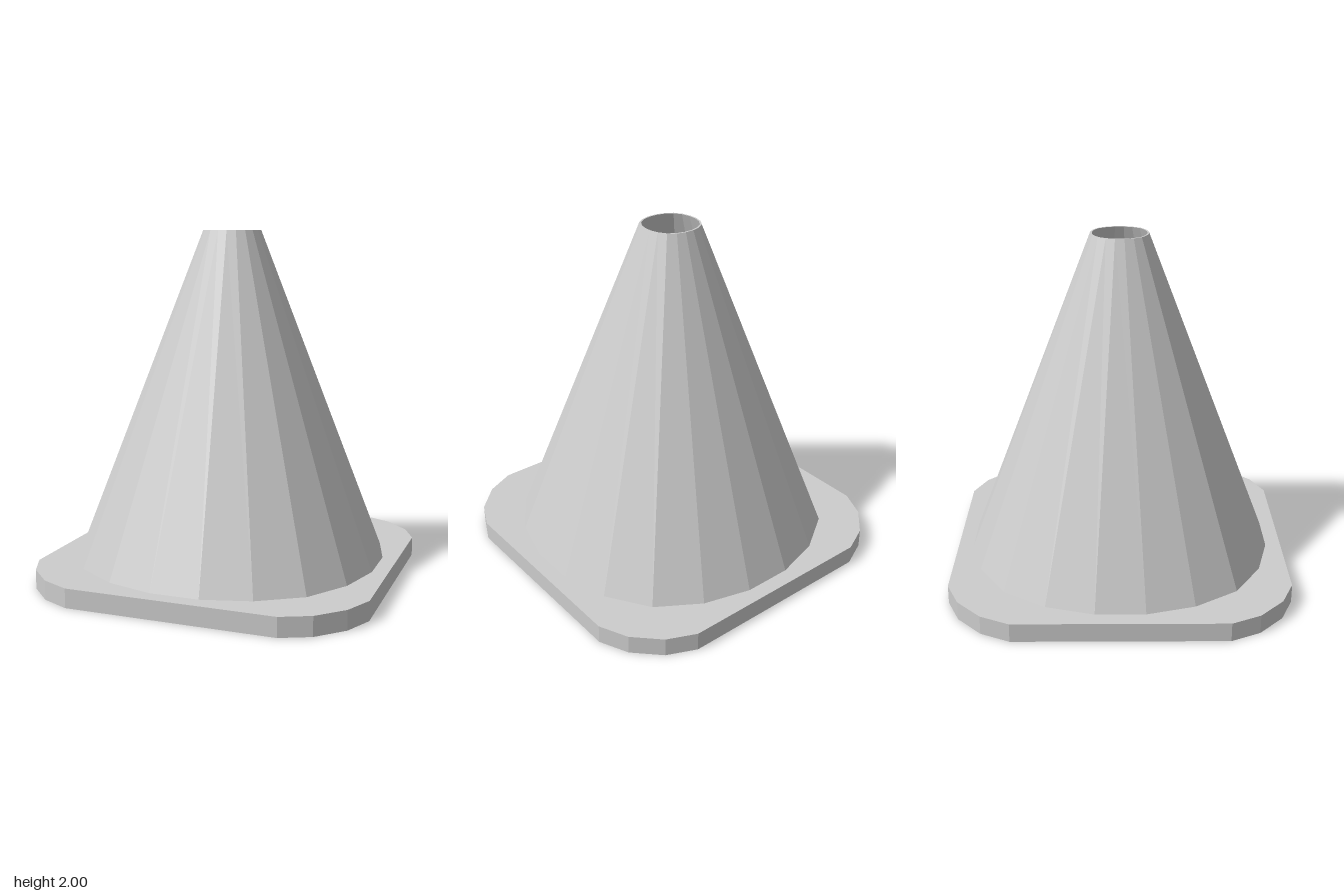
import * as THREE from 'three';

// Mirrors the points of one quadrant (+x axis round to +y axis) into a full closed outline.
function mirroredOutline(quadrant, scale = 1) {
  const points = [];
  for (const [sx, sy] of [[1, 1], [-1, 1], [-1, -1], [1, -1]]) {
    const side = quadrant.map(([x, y]) => new THREE.Vector2(x * sx * scale, y * sy * scale));
    points.push(...(sx * sy > 0 ? side : side.reverse()));
  }
  return points;
}

// Extrudes a shape upwards from y = 0.
function extrudeUp(shape, height) {
  const geometry = new THREE.ExtrudeGeometry(shape, { depth: height, bevelEnabled: false });
  return geometry.rotateX(-Math.PI / 2);
}

export function createModel() {
  const model = new THREE.Group();
  model.name = 'trafficCone';
  const grey = new THREE.MeshStandardMaterial({ color: 0xcccccc });
  grey.name = 'lightGrey';
  grey.flatShading = true;

  const baseHeight = 0.11;
  const coneHeight = 2 - baseHeight;
  const topScale = 0.184;

  // Square base plate with faceted corners
  const baseQuadrant = [[0.975, 0.595], [0.9, 0.76], [0.76, 0.9], [0.595, 0.975]];
  const base = new THREE.Mesh(
    extrudeUp(new THREE.Shape(mirroredOutline(baseQuadrant)), baseHeight), grey);
  base.name = 'basePlate';
  model.add(base);

  // Hollow twenty-sided cone: a ring-shaped prism tapered towards the top
  const coneQuadrant = [[0.885, 0.14], [0.81, 0.413], [0.655, 0.655], [0.413, 0.81], [0.14, 0.885]];
  const ring = new THREE.Shape(mirroredOutline(coneQuadrant));
  ring.holes.push(new THREE.Path(mirroredOutline(coneQuadrant, 0.94)));
  const coneGeometry = extrudeUp(ring, coneHeight);
  const position = coneGeometry.attributes.position;
  for (let i = 0; i < position.count; i++) {
    const s = THREE.MathUtils.lerp(1, topScale, position.getY(i) / coneHeight);
    position.setX(i, position.getX(i) * s);
    position.setZ(i, position.getZ(i) * s);
  }
  coneGeometry.computeVertexNormals();
  const cone = new THREE.Mesh(coneGeometry, grey);
  cone.name = 'hollowCone';
  cone.position.y = baseHeight;
  model.add(cone);

  return model;
}
